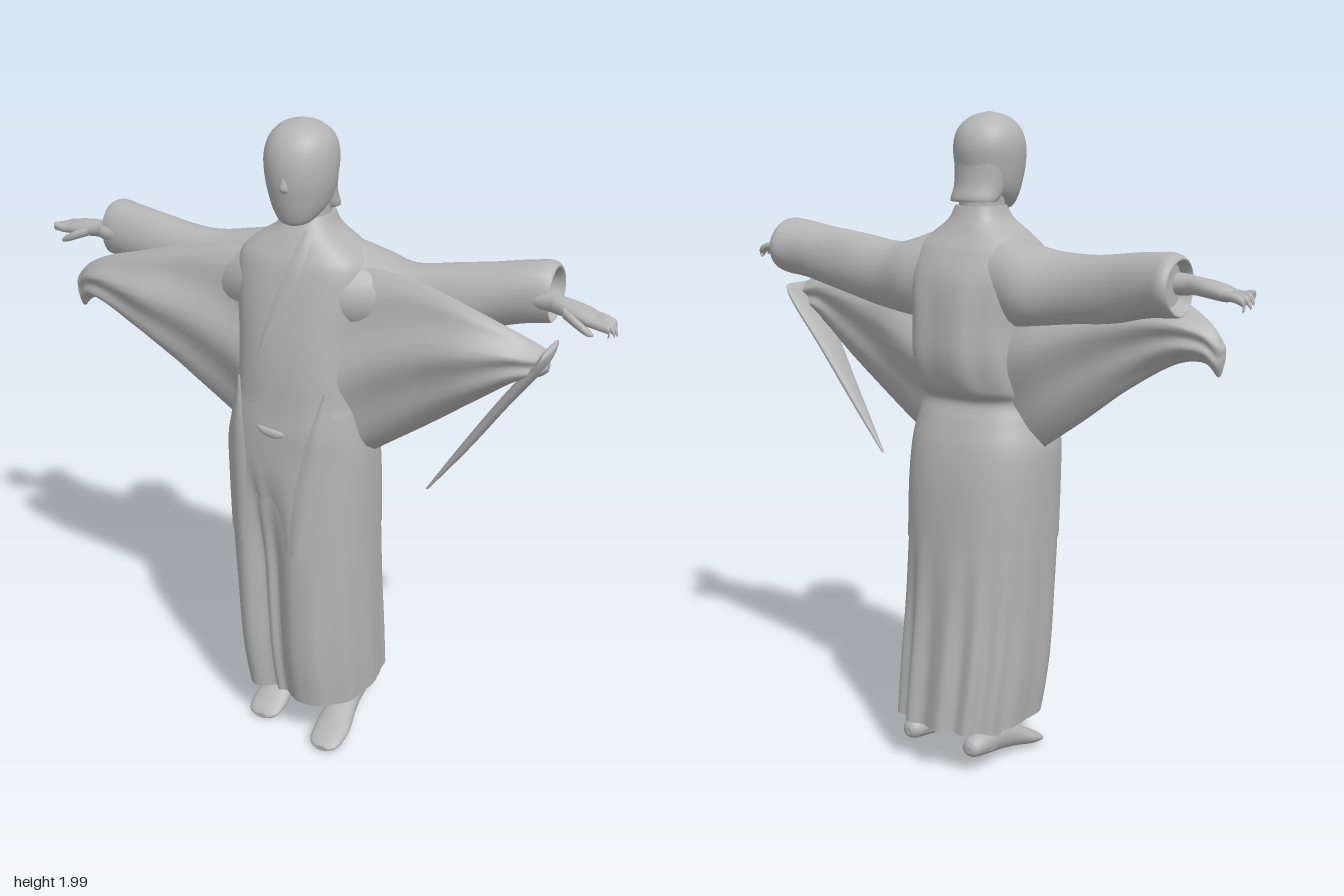
import * as THREE from 'three';

const grey = new THREE.MeshStandardMaterial({ color: 0xb4b4b4, side: THREE.DoubleSide });
grey.name = 'plain grey';

// Catmull-Rom resampling of rows of numbers
function resample(rows, sub = 5) {
  const out = [], last = rows.length - 1;
  const at = (i) => rows[Math.min(last, Math.max(0, i))];
  for (let i = 0; i < last; i++) for (let s = 0; s < sub; s++) {
    const t = s / sub;
    out.push(rows[i].map((b, k) => {
      const a = at(i - 1)[k], c = at(i + 1)[k], d = at(i + 2)[k];
      return b + 0.5 * t * (c - a + t * (2 * a - 5 * b + 4 * c - d + t * (3 * (b - c) + d - a)));
    }));
  }
  out.push(rows[last].slice());
  return out;
}

// Closed skin over rings of [x, y, z], capped at both ends and turned outward
function skin(rings) {
  const n = rings[0].length, pos = rings.flat(2), idx = [];
  for (let i = 0; i < rings.length - 1; i++) for (let j = 0; j < n; j++) {
    const a = i * n + j, b = i * n + (j + 1) % n;
    idx.push(a, b, b + n, a, b + n, a + n);
  }
  for (const [ring, flip] of [[rings[0], true], [rings[rings.length - 1], false]]) {
    const base = pos.length / 3;
    pos.push(...ring.flat(), ...[0, 1, 2].map((k) => ring.reduce((s, p) => s + p[k], 0) / n));
    for (let j = 0; j < n; j++) {
      const a = base + j, b = base + (j + 1) % n;
      idx.push(base + n, flip ? b : a, flip ? a : b);
    }
  }
  const v = (i) => new THREE.Vector3().fromArray(pos, i * 3);
  let volume = 0;
  for (let i = 0; i < idx.length; i += 3) volume += v(idx[i]).dot(v(idx[i + 1]).cross(v(idx[i + 2])));
  if (volume < 0) idx.reverse();
  return finish(pos, idx);
}

function finish(pos, idx) {
  const g = new THREE.BufferGeometry();
  g.setAttribute('position', new THREE.Float32BufferAttribute(pos, 3));
  g.setIndex(idx);
  g.computeVertexNormals();
  return g;
}

// Loft along an axis; rows are [along, centreU, centreV, radiusU, radiusV]
function loft(axis, rows, { n = 24, e = 1, fold = () => 1, sub = 5 } = {}) {
  const pw = (c) => Math.sign(c) * Math.abs(c) ** e;
  return skin(resample(rows, sub).map(([p, cu, cv, ru, rv]) => Array.from({ length: n }, (_, j) => {
    const a = (j / n) * Math.PI * 2, f = fold(a, p);
    const u = cu + Math.max(ru, 0.001) * pw(Math.cos(a)) * f;
    const v = cv + Math.max(rv, 0.001) * pw(Math.sin(a)) * f;
    return axis === 'x' ? [p, u, v] : axis === 'y' ? [u, p, v] : [u, v, p];
  })));
}

// [y, x min, x max, z back, z front] to a loft row
const box = ([y, x0, x1, z0, z1]) => [y, (x0 + x1) / 2, (z0 + z1) / 2, (x1 - x0) / 2, (z1 - z0) / 2];

const skirtRows = [
  [0.15, -0.195, 0.22, -0.23, 0.215], [0.3, -0.21, 0.22, -0.215, 0.232], [0.5, -0.22, 0.217, -0.195, 0.237],
  [0.78, -0.23, 0.214, -0.175, 0.234], [1.0, -0.22, 0.2, -0.135, 0.218],
].map(box);
const jacketRows = [
  [0.72, -0.232, 0.218, -0.184, 0.24], [0.9, -0.238, 0.218, -0.172, 0.235], [1.02, -0.238, 0.215, -0.152, 0.23],
  [1.1, -0.22, 0.205, -0.125, 0.23], [1.16, -0.207, 0.196, -0.105, 0.226], [1.2, -0.202, 0.194, -0.145, 0.224],
  [1.29, -0.2, 0.195, -0.172, 0.22], [1.4, -0.2, 0.195, -0.168, 0.208], [1.52, -0.212, 0.208, -0.15, 0.185],
  [1.6, -0.2, 0.2, -0.115, 0.165], [1.645, -0.155, 0.155, -0.085, 0.145], [1.69, -0.09, 0.095, -0.06, 0.122],
  [1.73, -0.07, 0.073, -0.045, 0.098],
].map(box);
const E = 0.8;
const { smoothstep } = THREE.MathUtils;

// Cloth folds: an open front, pleats at the back and a loose upper back
const fold = (depth) => (a, y) => {
  const gap = 0.5 + 0.5 * Math.tanh((0.24 - Math.abs(a - 1.78)) / 0.07);
  const open = depth * gap * (1 - 0.15 * Math.cos(26 * (a - 1.78))) * (1 - smoothstep(y, 0.6, 1.05));
  const low = 1 - smoothstep(y, 0.3, 0.85);
  const back = Math.max(0, -Math.sin(a));
  const pleat = back ? 0.05 * Math.cos(15 * a) * back : 0.015 * Math.cos(11 * a);
  const loose = 0.025 * Math.cos(9 * a) * back * smoothstep(y, 1.16, 1.25) * (1 - smoothstep(y, 1.45, 1.6));
  return 1 - open + pleat * low - loose;
};

// Front surface of the jacket at x, y
const fine = resample(jacketRows, 8);
function frontZ(x, y) {
  let i = 0;
  while (i < fine.length - 2 && fine[i + 1][0] < y) i++;
  const t = THREE.MathUtils.clamp((y - fine[i][0]) / (fine[i + 1][0] - fine[i][0]), 0, 1);
  const [, cu, cv, ru, rv] = fine[i].map((a, k) => a + (fine[i + 1][k] - a) * t);
  return cv + rv * Math.max(0, 1 - Math.abs((x - cu) / ru) ** (2 / E)) ** (E / 2);
}

// Thin cloth laid on the front; rows are [y, x left edge, x right edge]
function drapedStrip(rows, lift) {
  const pos = [], idx = [], m = 6, rs = resample(rows, 6);
  rs.forEach(([y, x0, x1], i) => {
    for (let j = 0; j <= m; j++) {
      const x = x0 + ((x1 - x0) * j) / m;
      pos.push(x, y, frontZ(x, y) + lift * (0.3 + 0.7 * Math.sin((Math.PI * j) / m)));
      if (i && j) {
        const d = i * (m + 1) + j, b = d - m - 1;
        idx.push(b - 1, d, b, b - 1, d - 1, d);
      }
    }
  });
  return finish(pos, idx);
}

// Hanging sleeve; rows are [x, yTop, zTop, yBottom, zBottom, zFront, zBack]
function hangingSleeve(rows, s) {
  return skin(resample(rows, 6).map(([x, yt, zt, yb, zb, zf, zk]) => Array.from({ length: 32 }, (_, j) => {
    const front = j < 16, t = front ? j / 16 : (32 - j) / 16;
    const bulge = Math.sin(Math.PI * t) ** (front ? 0.6 : 0.8);
    const mid = zt + (zb - zt) * t, target = front ? zf : zk;
    const crease = Math.min(0.012, (zf - zk) * 0.1) * Math.sin(t * 14 + x * 5) * bulge * (front ? 1 : -1);
    return [s * x, yt + (yb - yt) * t, mid + (target - mid) * bulge + crease];
  })));
}

export function createModel() {
  const model = new THREE.Group();
  const add = (name, geometry, parent = model) => {
    const mesh = new THREE.Mesh(geometry, grey);
    mesh.name = name;
    parent.add(mesh);
    return mesh;
  };

  // Robe
  add('skirt', loft('y', skirtRows, { n: 144, e: E, fold: fold(0.2), sub: 8 }));
  add('jacket', loft('y', jacketRows, { n: 144, e: E, fold: fold(0.3), sub: 8 }));
  add('rightFrontPanel', drapedStrip([[0.715, -0.165, -0.11], [0.9, -0.178, -0.11], [1.08, -0.185, -0.12], [1.25, -0.165, -0.15]], 0.012));
  add('leftFrontPanel', drapedStrip([[0.715, 0.04, 0.1], [0.9, 0.05, 0.13], [1.08, 0.085, 0.15], [1.25, 0.13, 0.145]], 0.016));
  add('collar', drapedStrip([[1.34, -0.075, -0.065], [1.5, -0.035, 0.015], [1.6, 0, 0.045], [1.7, 0.03, 0.06]], 0.006));
  add('beltTie', loft('x', [[-0.075, 1.12, 0.222, 0.003, 0.003], [-0.05, 1.11, 0.225, 0.014, 0.011], [0, 1.105, 0.226, 0.014, 0.01], [0.03, 1.11, 0.222, 0.003, 0.003]], { n: 12 }));
  add('innerHem', loft('y', [[0.115, -0.02, 0.0, 0.05, 0.1], [0.14, -0.01, 0.0, 0.12, 0.15], [0.22, 0, 0, 0.16, 0.17]], { n: 60, fold: (a) => 1 + 0.06 * Math.cos(9 * a) }));

  // Head, neck and hair
  add('neck', loft('y', [[1.58, 0, 0.03, 0.1, 0.09], [1.68, 0, 0.03, 0.07, 0.075], [1.8, 0, 0.03, 0.068, 0.07]]));
  add('head', loft('y', [
    [1.715, -0.025, 0.022, 0.09, 0.138], [1.725, -0.048, 0.045, 0.06, 0.154], [1.755, -0.074, 0.07, 0.0, 0.166],
    [1.79, -0.09, 0.086, -0.035, 0.174], [1.84, -0.102, 0.097, -0.046, 0.181], [1.9, -0.108, 0.1, -0.053, 0.178],
    [1.95, -0.095, 0.088, -0.036, 0.158], [1.985, -0.06, 0.052, 0.005, 0.118], [2.0, -0.006, -0.002, 0.055, 0.065],
  ].map(box), { n: 36 }));
  add('hair', loft('y', [
    [1.742, -0.072, 0.078, -0.06, 0.04], [1.755, -0.077, 0.08, -0.062, 0.06], [1.79, -0.082, 0.079, -0.051, 0.085],
    [1.84, -0.088, 0.084, -0.047, 0.1], [1.9, -0.09, 0.084, -0.05, 0.11],
  ].map(box), { n: 32 }));
  add('nose', loft('y', [[1.812, 0, 0.17, 0.006, 0.004], [1.828, -0.003, 0.172, 0.016, 0.016], [1.85, -0.003, 0.172, 0.013, 0.012], [1.89, -0.003, 0.168, 0.006, 0.006]], { n: 16 }));

  // Sleeves and arms, with s = 1 for the left side
  for (const s of [1, -1]) {
    const side = new THREE.Group();
    side.name = s > 0 ? 'leftArm' : 'rightArm';
    model.add(side);
    const mx = (rows) => rows.map(([x, ...r]) => [s * x, ...r]);
    const up = s > 0 ? 0.025 : 0;
    add('upperSleeve', loft('x', mx([
      [0.06, 1.52, 0.02, 0.135, 0.135], [0.14, 1.515, 0.012, 0.132, 0.135], [0.21, 1.505, 0, 0.122, 0.125],
      [0.32, 1.5, -0.01, 0.11, 0.09], [0.5, 1.525 + up / 2, -0.015, 0.097, 0.075], [0.62, 1.542 + up, -0.038, 0.09, 0.08],
      [0.69, 1.55 + up, -0.056, 0.088, 0.086], [0.716, 1.546 + up, -0.053, 0.076, 0.074], [0.68, 1.55 + up, -0.045, 0.06, 0.06],
    ]), { n: 32, fold: (a, x) => 1 + 0.035 * Math.sin(3 * a + x * 18) }), side);
    const tip = s > 0
      ? [[0.64, 1.495, 0.07, 1.325, 0.03, 0.125, 0], [0.71, 1.455, 0.045, 1.355, 0.03, 0.085, 0.01], [0.735, 1.435, 0.035, 1.375, 0.03, 0.045, 0.02]]
      : [[0.66, 1.5, 0.06, 1.32, 0.03, 0.12, -0.02], [0.75, 1.455, 0.04, 1.335, 0.03, 0.08, 0.0], [0.795, 1.415, 0.03, 1.3, 0.03, 0.045, 0.015], [0.812, 1.39, 0.03, 1.34, 0.03, 0.035, 0.025]];
    add('hangingSleeve', hangingSleeve([
      [0.14, 1.6, 0.09, 0.96, 0.03, 0.155, -0.08], [0.24, 1.605, 0.07, 1.03, 0.02, 0.14, -0.08],
      [0.38, 1.585, 0.075, 1.13, 0.02, 0.138, -0.05], [0.52, 1.545, 0.085, 1.235, 0.02, 0.148, -0.03], ...tip,
    ], s), side);

    // Hand with curled fingers
    const tilt = s > 0 ? 0.06 : -0.035, y0 = s > 0 ? 1.57 : 1.55;
    add('hand', loft('x', mx([
      [0.6, y0, -0.01, 0.036, 0.036], [0.7, y0, 0.0, 0.03, 0.033], [0.74, y0, tilt * 0.3, 0.026, 0.03],
      [0.79, y0 - 0.005, tilt * 0.5, 0.025, 0.04], [0.84, y0 - 0.012, tilt * 0.7, 0.022, 0.042], [0.86, y0 - 0.016, tilt * 0.75, 0.014, 0.037],
    ]), { n: 16 }), side);
    for (let f = 0; f < 4; f++) {
      const z = tilt * 0.75 + (f - 1.5) * 0.02, reach = 0.922 - Math.abs(f - 1.4) * 0.012;
      const drop = 0.04 - f * (s < 0 ? 0.008 : 0.003);
      add('finger', loft('x', mx([
        [0.835, y0 - 0.012, z, 0.012, 0.011], [0.875, y0 - 0.016, z + tilt * 0.1, 0.013, 0.011],
        [0.905, y0 - drop * 0.7, z + tilt * 0.15, 0.012, 0.01], [reach, y0 - drop - 0.008, z + tilt * 0.18, 0.006, 0.006],
      ]), { n: 10 }), side);
    }
    add('thumb', loft('x', mx([
      [0.77, y0 - 0.005, tilt * 0.5 + 0.025, 0.016, 0.014], [0.81, y0 - 0.02, tilt * 0.5 + 0.046, 0.014, 0.013],
      [0.845, y0 - 0.036, tilt * 0.6 + 0.05, 0.011, 0.011], [0.862, y0 - 0.044, tilt * 0.6 + 0.048, 0.004, 0.004],
    ]), { n: 10 }), side);

    // Leg and foot, with the heel raised; the right toes reach less far forward
    const x = s > 0 ? 0.135 : -0.1, toe = s > 0 ? 1 : 0.72;
    add('leg', loft('y', [[0.07, x, -0.09, 0.038, 0.065], [0.12, x, -0.07, 0.038, 0.066], [0.26, x, -0.05, 0.048, 0.062]]), side);
    add('foot', loft('z', [
      [0.234 * toe, x + s * 0.008, 0.016, 0.024, 0.009], [0.21 * toe, x + s * 0.008, 0.023, 0.05, 0.017], [0.14 * toe, x + s * 0.006, 0.04, 0.058, 0.029],
      [0.05 * toe, x, 0.066, 0.048, 0.042], [-0.03, x, 0.086, 0.04, 0.05], [-0.12, x, 0.092, 0.04, 0.04], [-0.165, x, 0.089, 0.03, 0.028], [-0.178, x, 0.087, 0.012, 0.012],
    ], { n: 28 }), side);
  }

  // Long pointed strip hanging from the left sleeve
  add('pointedStrip', loft('y', [
    [0.92, 0.388, 0.02, 0.004, 0.004], [1.08, 0.497, 0.022, 0.015, 0.026], [1.25, 0.61, 0.025, 0.019, 0.05],
    [1.38, 0.702, 0.03, 0.021, 0.072], [1.435, 0.732, 0.033, 0.012, 0.078], [1.447, 0.733, 0.034, 0.003, 0.06],
  ], { n: 20 }));
  return model;
}
